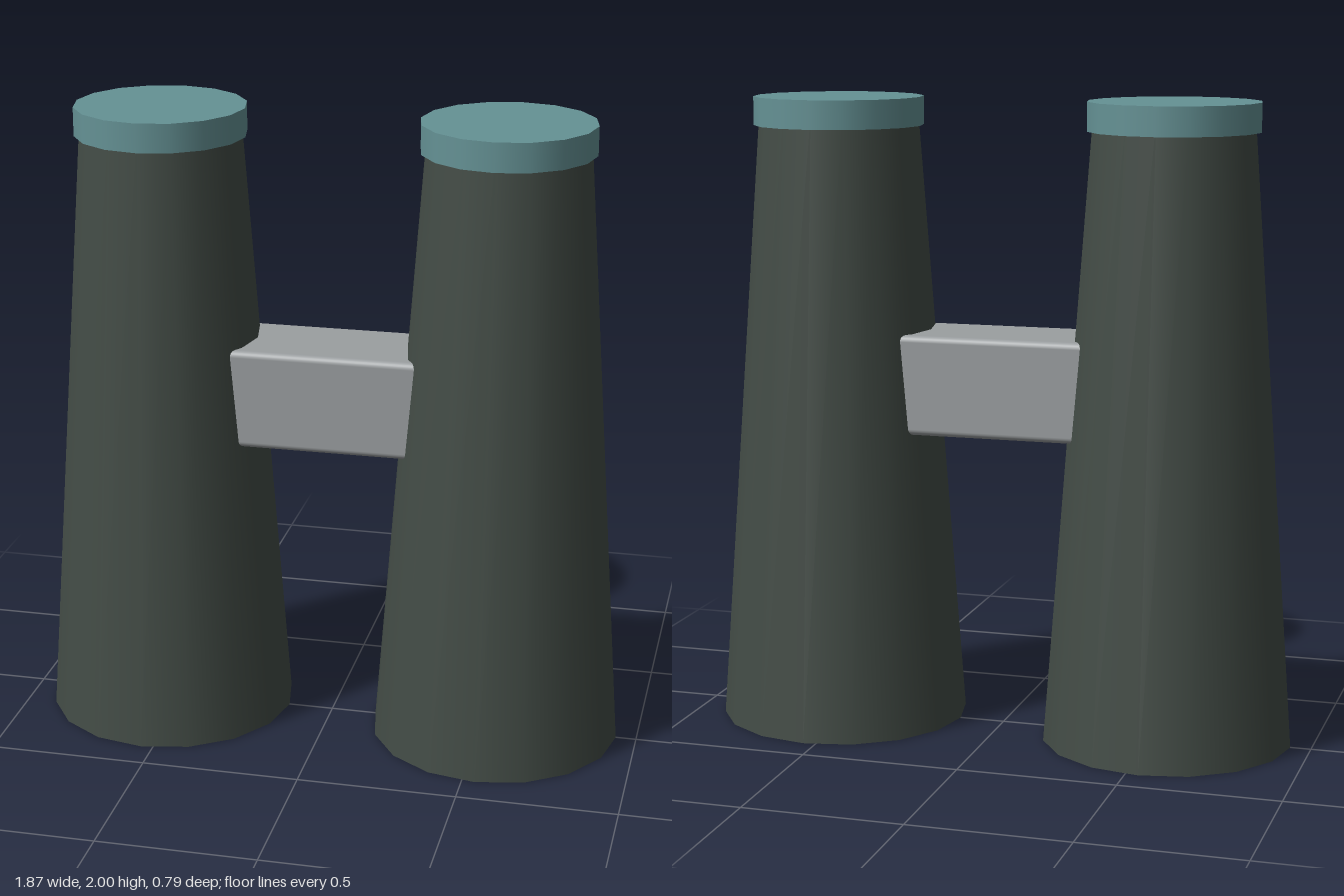
import * as THREE from 'three';
import { RoundedBoxGeometry } from 'three/addons/geometries/RoundedBoxGeometry.js';

const material = (name, color) => {
  const m = new THREE.MeshStandardMaterial({ color });
  m.name = name;
  return m;
};

export function createModel() {
  const model = new THREE.Group();
  model.name = 'binoculars';

  const barrelGreen = material('dark green', 0x434c46);
  const lensTeal = material('teal', 0x659295);
  const bridgeGrey = material('grey', 0x9b9fa1);

  const add = (name, geometry, mat, x, y) => {
    const mesh = new THREE.Mesh(geometry, mat);
    mesh.name = name;
    mesh.position.set(x, y, 0);
    model.add(mesh);
  };

  // Tapered barrels with an eyepiece cap on each
  const barrel = new THREE.CylinderGeometry(0.25, 0.395, 1.95, 16);
  const eyepiece = new THREE.CylinderGeometry(0.268, 0.268, 0.09, 16);
  for (const [side, x] of [['left', 0.54], ['right', -0.54]]) {
    add(side + 'Barrel', barrel, barrelGreen, x, 0.975);
    add(side + 'Eyepiece', eyepiece, lensTeal, x, 1.955);
  }

  // Bridge with softened edges, its ends sunk into the barrels
  add('bridge', new RoundedBoxGeometry(0.9, 0.315, 0.315, 3, 0.02), bridgeGrey, 0, 1.113);

  return model;
}
